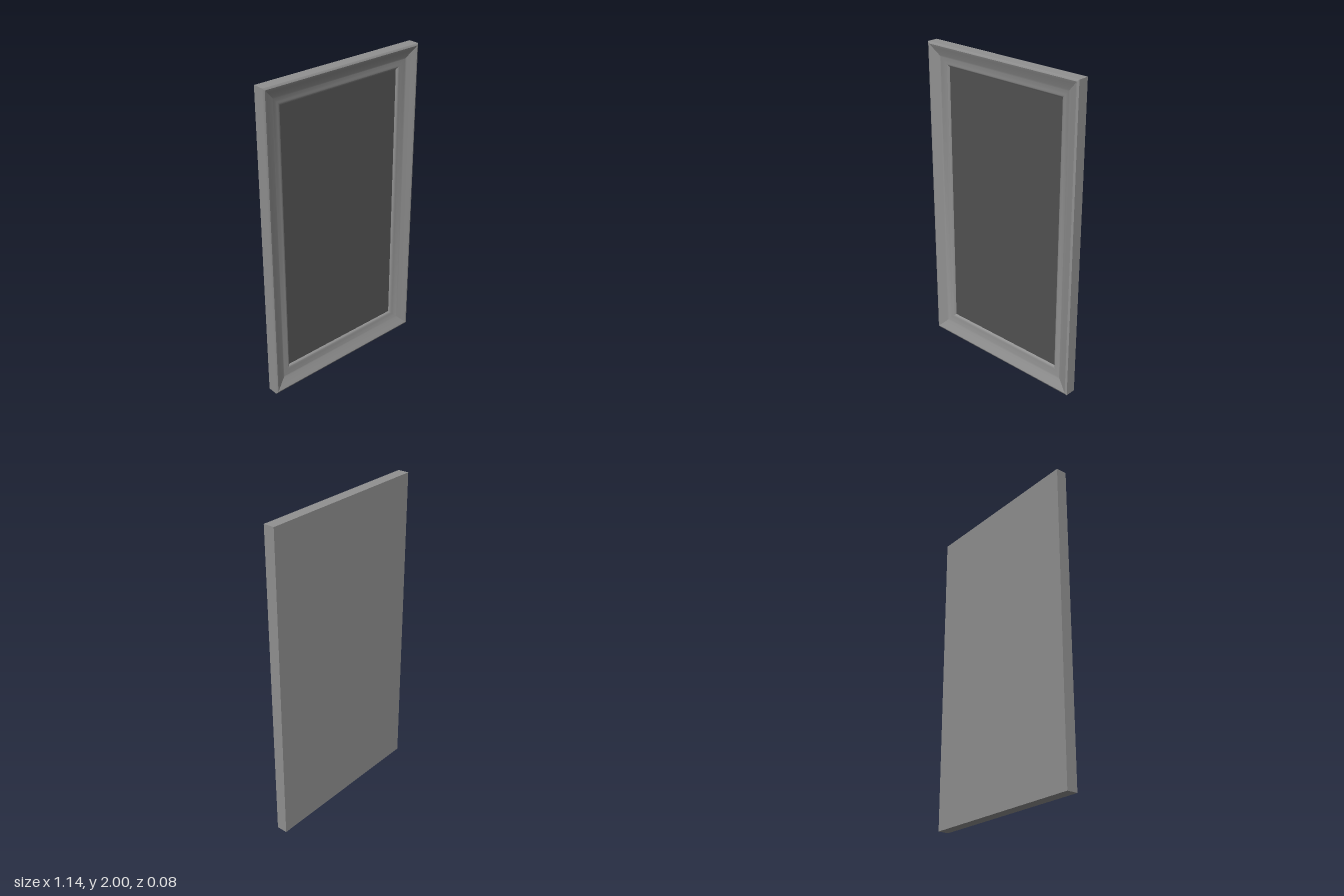
import * as THREE from 'three';
import { toCreasedNormals } from 'three/addons/utils/BufferGeometryUtils.js';

const W = 1.14, H = 2, BACK = -0.04;

// Sweeps a profile of [inset from outer edge, z] around the rectangle with mitred corners
function mitredFrame(profile) {
  const ring = ([inset, z]) => {
    const x = W / 2 - inset, y = H / 2 - inset;
    return [[-x, -y, z], [x, -y, z], [x, y, z], [-x, y, z]];
  };
  const pos = [];
  for (let i = 0; i < profile.length - 1; i++) {
    const outer = ring(profile[i]), inner = ring(profile[i + 1]);
    for (let k = 0; k < 4; k++) {
      const n = (k + 1) % 4;
      const [a, b, c, d] = [outer[k], outer[n], inner[n], inner[k]];
      pos.push(...a, ...b, ...c, ...a, ...c, ...d);
    }
  }
  const geo = new THREE.BufferGeometry();
  geo.setAttribute('position', new THREE.Float32BufferAttribute(pos, 3));
  return toCreasedNormals(geo, 0.45);
}

export function createModel() {
  const group = new THREE.Group();
  const frameMat = new THREE.MeshStandardMaterial({ color: 0x919191 });
  const panelMat = new THREE.MeshStandardMaterial({ color: 0x525252 });

  const add = (name, geo, mat, z = 0) => {
    const mesh = new THREE.Mesh(geo, mat);
    mesh.name = name;
    mesh.position.set(0, H / 2, z);
    group.add(mesh);
    return mesh;
  };

  // Moulding: side wall, small rounded lip, shallow cove, soft inner bead down to the panel
  const profile = [[0, BACK], [0, 0.03], [0.006, 0.034], [0.012, 0.036], [0.018, 0.034]];
  const steps = 10;
  for (let i = 1; i <= steps; i++) {
    const t = i / steps;
    profile.push([0.018 + 0.092 * t, 0.002 + 0.032 * Math.pow(1 - t, 1.2)]);
  }
  profile.push([0.118, 0.001], [0.126, -0.001], [0.132, -0.004], [0.136, -0.008], [0.138, -0.012]);
  add('frame', mitredFrame(profile), frameMat);

  // Recessed panel
  add('panel', new THREE.BoxGeometry(W - 0.27, H - 0.27, 0.02), panelMat, -0.021);

  // Flat back
  add('back', new THREE.PlaneGeometry(W, H), frameMat, BACK).rotation.y = Math.PI;

  return group;
}
